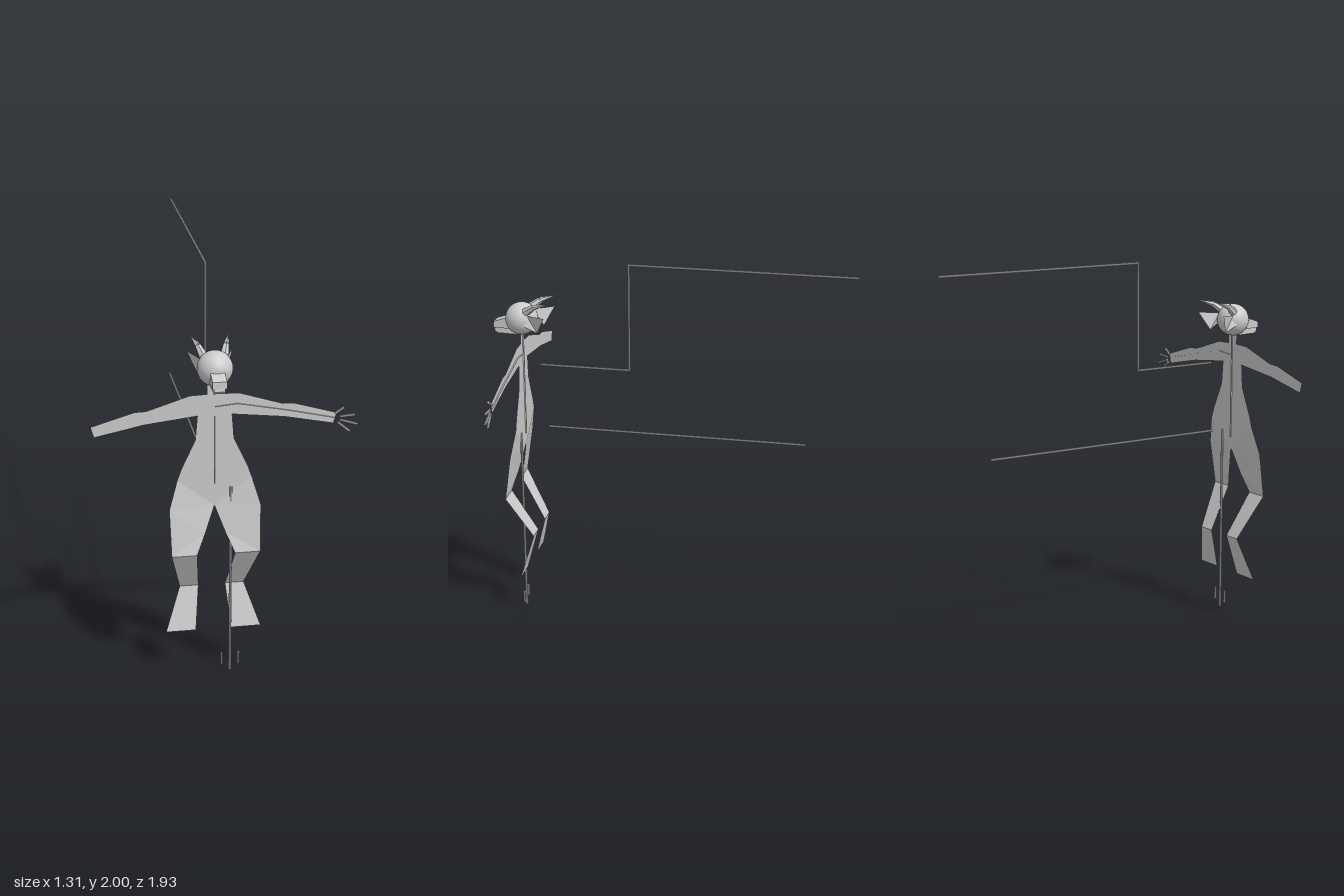
import * as THREE from 'three';

const CX = -0.06; // figure centre line
const Z = 0.82;   // plane of the flat body

const smooth = new THREE.MeshStandardMaterial({ color: 0xcccccc });
const flat = new THREE.MeshStandardMaterial({ color: 0xcccccc, flatShading: true, side: THREE.DoubleSide });

function add(parent, name, geometry, material = flat) {
  const mesh = new THREE.Mesh(geometry, material);
  mesh.name = name;
  parent.add(mesh);
  return mesh;
}

// Straight or tapered bar between two points
function bar(parent, name, a, b, ra, rb = ra, sides = 8) {
  const p = new THREE.Vector3(...a), q = new THREE.Vector3(...b);
  const dir = q.clone().sub(p);
  const mesh = add(parent, name, new THREE.CylinderGeometry(rb, ra, dir.length(), sides));
  mesh.position.copy(p).add(q).multiplyScalar(0.5);
  mesh.quaternion.setFromUnitVectors(new THREE.Vector3(0, 1, 0), dir.normalize());
  return mesh;
}

// Thin folded sheet from corners and triangles; side mirrors it in x
function sheet(parent, name, corners, triangles, side = 1) {
  const geometry = new THREE.BufferGeometry();
  const points = corners.map(([x, y, z]) => new THREE.Vector3(x * side, y, z));
  geometry.setFromPoints(points);
  geometry.setIndex(triangles.flatMap(([a, b, c]) => (side > 0 ? [a, b, c] : [a, c, b])));
  geometry.computeVertexNormals();
  return add(parent, name, geometry);
}

// Solid with a side profile in (z, y) and a width in x
function profileSolid(parent, name, profile, width) {
  const shape = new THREE.Shape(profile.map(([z, y]) => new THREE.Vector2(-z, y)));
  const geometry = new THREE.ExtrudeGeometry(shape, { depth: width, bevelEnabled: false });
  geometry.translate(0, 0, -width / 2);
  geometry.rotateY(Math.PI / 2);
  return add(parent, name, geometry);
}

export function createModel() {
  const model = new THREE.Group();
  const figure = new THREE.Group();
  figure.name = 'figure';
  figure.position.x = CX;
  model.add(figure);

  // Flat neck, arms and torso: half outline, then its mirror
  const half = [
    [0.037, 1.58], [0.037, 1.525], [0.122, 1.522], [0.333, 1.455], [0.39, 1.453],
    [0.603, 1.39], [0.587, 1.335], [0.344, 1.385], [0.085, 1.415], [0.095, 1.29],
    [0.164, 1.14], [0.185, 1.08],
  ];
  const outline = [...half, [0, 0.935], ...half.map(([x, y]) => [-x, y]).reverse()];
  const body = new THREE.Shape(outline.map(([x, y]) => new THREE.Vector2(x, y)));
  add(figure, 'torsoAndArms', new THREE.ShapeGeometry(body)).position.z = Z;

  // Head and snout
  const head = add(figure, 'head', new THREE.SphereGeometry(0.087, 32, 20), smooth);
  head.position.set(0, 1.657, Z);
  profileSolid(figure, 'upperJaw',
    [[0.86, 1.665], [0.9, 1.662], [0.965, 1.64], [0.967, 1.605], [0.86, 1.605]], 0.07);
  profileSolid(figure, 'lowerJaw',
    [[0.84, 1.605], [0.962, 1.605], [0.965, 1.59], [0.95, 1.575], [0.84, 1.572]], 0.054);

  for (const side of [1, -1]) {
    const word = side > 0 ? 'left' : 'right';

    // Bent horn
    const base = [side * 0.05, 1.705, 0.785];
    const bend = [side * 0.068, 1.742, 0.735];
    const tip = [side * 0.092, 1.765, 0.655];
    bar(figure, word + 'HornBase', base, bend, 0.023, 0.016, 6);
    bar(figure, word + 'HornTip', bend, tip, 0.016, 0.001, 6);

    // Ear
    sheet(figure, word + 'Ear', [
      [0.062, 1.69, 0.775], [0.115, 1.697, 0.668], [0.07, 1.6, 0.718], [0.08, 1.635, 0.785],
    ], [[0, 2, 1], [0, 3, 2]], side);

    // Leg: thigh, shin and foot fold at knee and ankle
    sheet(figure, word + 'Leg', [
      [0.185, 1.08, Z], [0, 0.935, Z], [0.228, 0.935, 0.845], [0.05, 0.8, 0.85],
      [0.222, 0.695, 0.88], [0.095, 0.695, 0.88],
      [0.164, 0.46, 0.745], [0.068, 0.46, 0.745],
      [0.243, 0.235, 0.805], [0.09, 0.235, 0.805],
    ], [
      [0, 1, 2], [1, 3, 2], [2, 3, 4], [3, 5, 4],
      [4, 5, 6], [5, 7, 6], [6, 7, 8], [7, 9, 8],
    ], side);
  }

  // Spine strip, edge-on to the front
  const spine = add(figure, 'spineStrip', new THREE.PlaneGeometry(0.015, 0.57));
  spine.rotation.y = Math.PI / 2;
  spine.position.set(0, 1.285, Z);

  // Strip along the left arm, edge-on to the front
  const armPath = [[0, 1.46], [0.11, 1.47], [0.36, 1.42], [0.595, 1.365]];
  const w = 0.0075;
  const armCorners = armPath.flatMap(([x, y]) => [[x, y, Z - w], [x, y, Z + w]]);
  const armFaces = [0, 2, 4].flatMap((i) => [[i, i + 1, i + 2], [i + 1, i + 3, i + 2]]);
  sheet(figure, 'leftArmStrip', armCorners, armFaces);

  // Fingers of the left hand
  const fingers = [
    [0.535, 1.385, 0.58, 1.415], [0.56, 1.367, 0.635, 1.373],
    [0.56, 1.35, 0.648, 1.322], [0.55, 1.338, 0.61, 1.287],
  ];
  for (const [x0, y0, x1, y1] of fingers) {
    bar(model, 'finger', [x0, y0, Z], [x1, y1, Z], 0.007);
  }

  // Leg pole and two small pegs at its foot
  bar(model, 'legPole', [0.022, 0, Z], [0.022, 1.03, Z], 0.007);
  for (const x of [-0.02, 0.066]) bar(model, 'peg', [x, 0.032, Z], [x, 0.1, Z], 0.006);

  // Rods behind the figure: a stepped upper one and a straight lower one
  const steps = [[0.71, 1.42], [0.225, 1.42], [0.225, 1.995], [-0.968, 1.995]];
  for (let i = 0; i < 3; i++) {
    const [z0, y0] = steps[i], [z1, y1] = steps[i + 1];
    bar(model, 'upperRod', [-0.01, y0, z0], [-0.01, y1, z1], 0.0065);
  }
  bar(model, 'lowerRod', [CX, 1.05, 0.685], [CX, 1.05, -0.712], 0.0065);

  return model;
}
